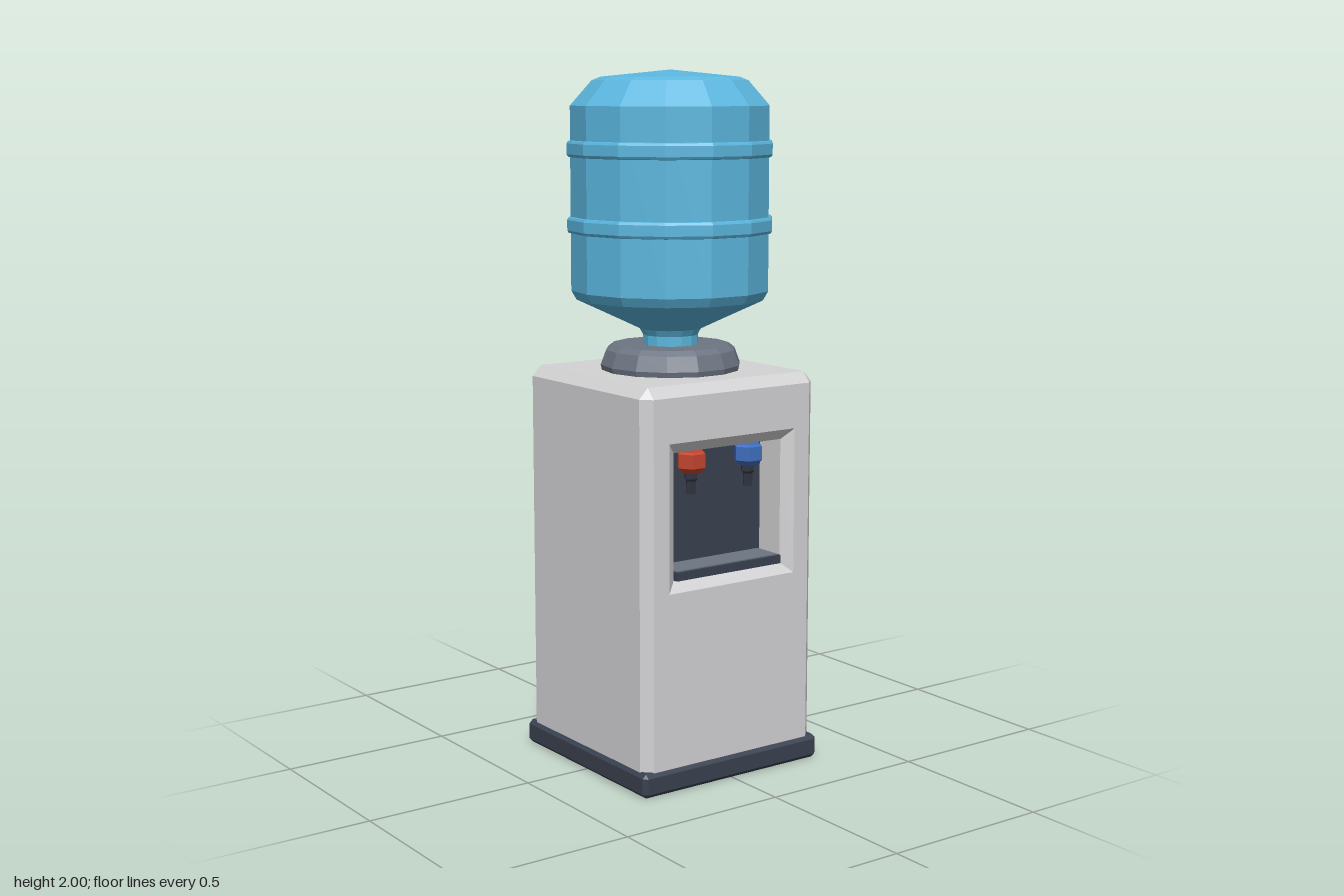
import * as THREE from 'three';

const mat = (name, color) => Object.assign(new THREE.MeshStandardMaterial({ color }), { name });

// Faceted normals for a low-poly look
function facet(geo) {
  const g = geo.index ? geo.toNonIndexed() : geo;
  g.computeVertexNormals();
  return g;
}

// Skin consecutive rings of points with quads; skip(i, j) leaves a gap
function loft(rings, skip = () => false) {
  const pos = [];
  const same = (p, q) => p.every((v, k) => Math.abs(v - q[k]) < 1e-6);
  const tri = (a, b, c) => {
    if (!same(a, b) && !same(b, c) && !same(a, c)) pos.push(...a, ...b, ...c);
  };
  for (let i = 0; i < rings.length - 1; i++) {
    const n = rings[i].length;
    for (let j = 0; j < n; j++) {
      if (skip(i, j)) continue;
      const k = (j + 1) % n;
      tri(rings[i][j], rings[i][k], rings[i + 1][k]);
      tri(rings[i][j], rings[i + 1][k], rings[i + 1][j]);
    }
  }
  const g = new THREE.BufferGeometry();
  g.setAttribute('position', new THREE.Float32BufferAttribute(pos, 3));
  g.computeVertexNormals();
  return g;
}

// Square ring with cut corners: half size h, flat half length c
const octagon = (y, h, c) =>
  [[-c, h], [c, h], [h, c], [h, -c], [c, -h], [-c, -h], [-h, -c], [-h, c]].map(([x, z]) => [x, y, z]);

// Upright rectangle at depth x, wound so its loft faces inward
const opening = (x, hz, y0, y1) => [[x, y0, hz], [x, y1, hz], [x, y1, -hz], [x, y0, -hz]];

// Turned part with few sides, profile given from bottom to top
const turned = (profile, sides) =>
  facet(new THREE.LatheGeometry(profile.map(([r, y]) => new THREE.Vector2(r, y)), sides));

export function createModel() {
  const model = new THREE.Group();
  model.name = 'waterDispenser';

  const casing = mat('casingGrey', 0xd3d3d5);
  const water = mat('bottleBlue', 0x5bb6de);
  const dark = mat('darkSlate', 0x394150);
  const slate = mat('slateGrey', 0x6d7583);
  const red = mat('hotRed', 0xc2452f);
  const blue = mat('coldBlue', 0x3f6fc0);
  const black = mat('nozzleBlack', 0x30353f);

  const add = (name, geo, material, parent = model) => {
    const mesh = new THREE.Mesh(geo, material);
    mesh.name = name;
    parent.add(mesh);
    return mesh;
  };

  // Plinth with small chamfers
  add('base', loft([
    octagon(0, 0, 0), octagon(0, 0.298, 0.298), octagon(0.012, 0.31, 0.298),
    octagon(0.058, 0.31, 0.298), octagon(0.07, 0.298, 0.298), octagon(0.07, 0, 0),
  ]), dark);

  // Casing, left open on the +x side where the recessed panel goes
  const H = 0.3, C = 0.272;
  add('casing', loft([
    octagon(0.065, H, C), octagon(1.12, H, C), octagon(1.15, C, C), octagon(1.15, 0, 0),
  ], (i, j) => i === 0 && j === 2), casing);

  // Service side with the opening cut out
  const rect = (path, w, y0, y1) =>
    path.moveTo(-w, y0).lineTo(w, y0).lineTo(w, y1).lineTo(-w, y1).closePath();
  const panel = rect(new THREE.Shape(), C, 0.065, 1.12);
  panel.holes.push(rect(new THREE.Path(), 0.22, 0.572, 0.993));
  add('servicePanel', new THREE.ShapeGeometry(panel).rotateY(Math.PI / 2).translate(H, 0, 0), casing);

  // Recess: inner walls and the bevelled frame
  add('recessWalls', loft([
    opening(0.185, 0.185, 0.6, 0.95),
    opening(0.275, 0.188, 0.6, 0.962),
    opening(H, 0.22, 0.572, 0.993),
  ]), casing);
  add('recessBack', new THREE.PlaneGeometry(0.37, 0.35).rotateY(Math.PI / 2), dark)
    .position.set(0.185, 0.775, 0);

  // Drip tray with a grey top plate
  add('dripTray', new THREE.BoxGeometry(0.1, 0.024, 0.368), dark).position.set(0.236, 0.613, 0);
  add('dripPlate', new THREE.BoxGeometry(0.09, 0.004, 0.356), slate).position.set(0.233, 0.626, 0);

  // Hot and cold taps
  for (const [name, z, colour] of [['hotTap', 0.1, red], ['coldTap', -0.1, blue]]) {
    const tap = new THREE.Group();
    tap.name = name;
    tap.position.set(0.237, 0, z);
    const body = turned([[0, 0.892], [0.028, 0.892], [0.043, 0.908], [0.043, 0.948], [0.036, 0.953], [0, 0.953]], 6);
    const nozzle = turned([[0, 0.832], [0.014, 0.832], [0.015, 0.868], [0.02, 0.875], [0.02, 0.893]], 6);
    // Turn one flat of the hexagon towards the user
    add('tapBody', body.rotateY(0), colour, tap);
    add('tapNozzle', nozzle.rotateY(0), black, tap);
    model.add(tap);
  }

  // Collar that holds the bottle
  add('collar', turned([
    [0.2, 1.148], [0.204, 1.165], [0.188, 1.208], [0.17, 1.222], [0.075, 1.222],
  ], 14), slate);

  // Upturned bottle
  add('bottle', turned([
    [0.08, 1.2], [0.08, 1.25], [0.09, 1.268], [0.14, 1.292], [0.272, 1.354],
    [0.287, 1.38], [0.287, 1.9], [0.225, 1.97], [0.2, 1.98], [0, 2],
  ], 14), water);

  // Raised ribs around the bottle
  for (const y of [1.566, 1.78]) {
    add('bottleRib', turned([
      [0.284, y - 0.024], [0.293, y - 0.022], [0.297, y - 0.015],
      [0.297, y + 0.015], [0.293, y + 0.022], [0.284, y + 0.024],
    ], 14), water);
  }
  return model;
}
